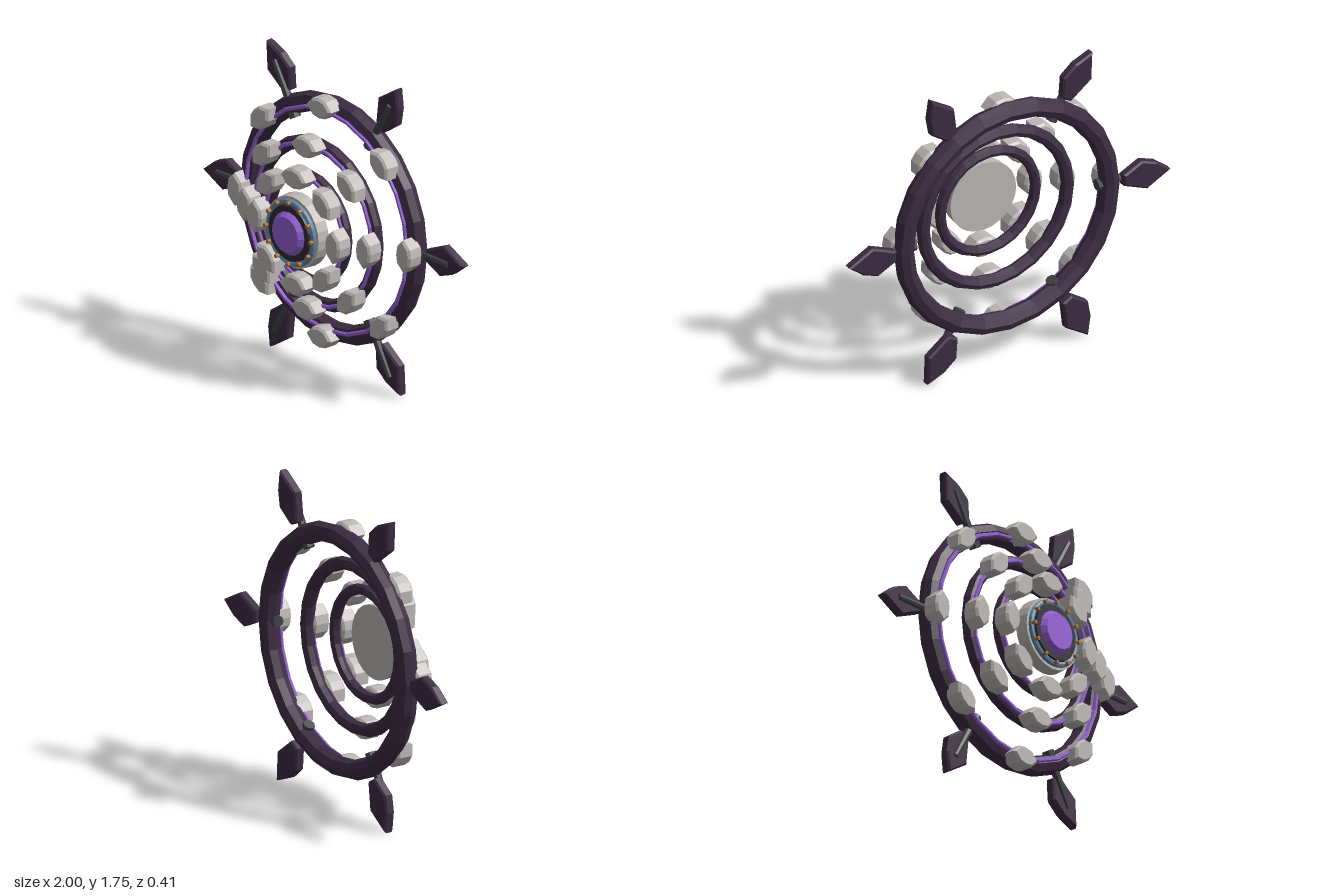
import * as THREE from 'three';

const mat = (name, color) => {
  const m = new THREE.MeshStandardMaterial({ color, flatShading: true });
  m.name = name;
  return m;
};

export function createModel() {
  const darkPurple = mat('dark purple', 0x3d2c43);
  const violet = mat('violet', 0x9560d6);
  const stone = mat('pale stone', 0xbcb8b5);
  const iron = mat('iron', 0x404244);
  const hubDark = mat('hub dark', 0x302c35);
  const steel = mat('blue steel', 0x6489a8);
  const bronze = mat('bronze', 0xb0762c);

  const model = new THREE.Group();
  model.name = 'ringedWheel';
  model.position.y = 0.88;

  const add = (parent, name, geo, material, x = 0, y = 0, z = 0) => {
    const mesh = new THREE.Mesh(geo, material);
    mesh.name = name;
    mesh.position.set(x, y, z);
    parent.add(mesh);
    return mesh;
  };

  // Bevelled plate, centred in depth, keeping the given outline
  const plate = (points, depth, bevel) => {
    const shape = new THREE.Shape(points.map(([x, y]) => new THREE.Vector2(x, y)));
    const geo = new THREE.ExtrudeGeometry(shape, {
      depth: depth - 2 * bevel, bevelEnabled: true, bevelThickness: bevel,
      bevelSize: bevel, bevelOffset: -bevel, bevelSegments: 1,
    });
    return geo.translate(0, 0, -(depth - 2 * bevel) / 2);
  };

  // Cylinder along z between two depths
  const disc = (rFront, rBack, z0, z1, sides) =>
    new THREE.CylinderGeometry(rFront, rBack, z1 - z0, sides)
      .rotateX(Math.PI / 2).translate(0, 0, (z0 + z1) / 2);

  // Group turned about the wheel axis
  const spoke = (name, angle) => {
    const g = new THREE.Group();
    g.name = name;
    g.rotation.z = angle;
    model.add(g);
    return g;
  };

  // Three stepped rings, each with an inlaid line and eight stones
  const stoneGeo = plate([
    [0, -0.095], [0.048, -0.048], [0.057, 0], [0.048, 0.048],
    [0, 0.095], [-0.048, 0.048], [-0.057, 0], [-0.048, -0.048],
  ], 0.1, 0.012);
  const rings = [
    { name: 'outer', r: 0.64, tube: 0.056, z: -0.147, stoneR: 0.65, stoneZ: -0.08, lineR: 0.622, segs: 24 },
    { name: 'middle', r: 0.449, tube: 0.037, z: -0.036, stoneR: 0.46, stoneZ: 0.032, lineR: 0.449, segs: 24 },
    { name: 'inner', r: 0.296, tube: 0.03, z: 0.036, stoneR: 0.302, stoneZ: 0.105, lineR: 0.296, segs: 24 },
  ];
  for (const k of rings) {
    add(model, k.name + 'Ring', new THREE.TorusGeometry(k.r, k.tube, 8, k.segs), darkPurple, 0, 0, k.z);
    add(model, k.name + 'Inlay', new THREE.TorusGeometry(k.lineR, 0.012, 6, k.segs), violet,
      0, 0, k.z + k.tube - 0.002);
    for (let i = 0; i < 8; i++) {
      const g = spoke(k.name + 'StoneArm', i * Math.PI / 4);
      add(g, k.name + 'Stone', stoneGeo, stone, k.stoneR, 0, k.stoneZ);
    }
  }

  // Six blades on iron rods passing through the outer ring
  const bladeGeo = plate([
    [0.71, -0.035], [0.82, -0.088], [0.91, -0.055], [1.0, 0.016],
    [0.855, 0.092], [0.71, 0.03],
  ], 0.056, 0.01);
  const rodGeo = new THREE.CylinderGeometry(0.017, 0.026, 0.32, 8).rotateZ(-Math.PI / 2);
  const capGeo = new THREE.CylinderGeometry(0.032, 0.032, 0.045, 8).rotateZ(-Math.PI / 2);
  for (let i = 0; i < 6; i++) {
    const g = spoke('bladeArm', i * Math.PI / 3);
    add(g, 'blade', bladeGeo, darkPurple, 0, 0, -0.163);
    add(g, 'rod', rodGeo, iron, 0.73, 0, -0.137);
    add(g, 'rodCap', capGeo, iron, 0.588, 0, -0.137);
  }

  // Central hub with banded rim, studs and a bevelled gem
  add(model, 'hubStone', disc(0.2, 0.205, 0.08, 0.15, 24), stone);
  add(model, 'hubPlate', disc(0.155, 0.16, 0.15, 0.178, 24), hubDark);
  add(model, 'hubBand', new THREE.TorusGeometry(0.172, 0.016, 8, 32), steel, 0, 0, 0.158);
  add(model, 'gem', disc(0.1, 0.122, 0.178, 0.205, 16), violet);
  const studGeo = disc(0.011, 0.011, 0.155, 0.193, 8);
  for (let i = 0; i < 12; i++) {
    add(spoke('studArm', i * Math.PI / 6), 'stud', studGeo, bronze, 0.173);
  }
  return model;
}
